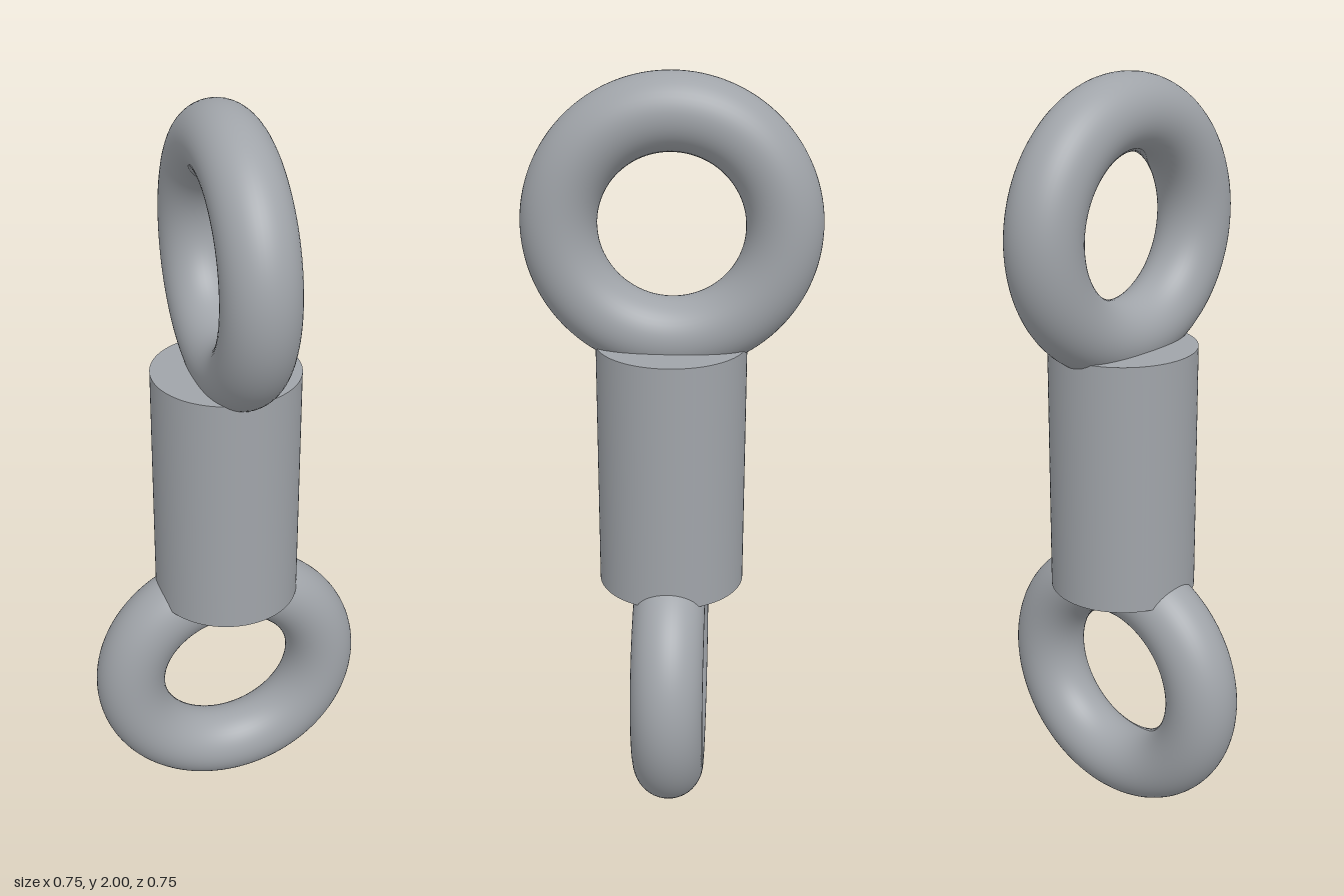
import * as THREE from 'three';

export function createModel() {
  const group = new THREE.Group();
  const steel = new THREE.MeshStandardMaterial({ color: 0xa0a4a9 });
  steel.name = 'steelGrey';

  const add = (name, geometry, y, turn = 0) => {
    const mesh = new THREE.Mesh(geometry, steel);
    mesh.name = name;
    mesh.position.y = y;
    mesh.rotation.y = turn;
    group.add(mesh);
  };

  // Solid barrel joining the two eyes
  add('barrel', new THREE.CylinderGeometry(0.193, 0.193, 0.668, 96), 0.988);

  // Two identical eyes, set at right angles to each other
  const ring = new THREE.TorusGeometry(0.279, 0.0955, 48, 128);
  add('lowerRing', ring, 0.3745);
  add('upperRing', ring, 1.6255, Math.PI / 2);

  return group;
}
